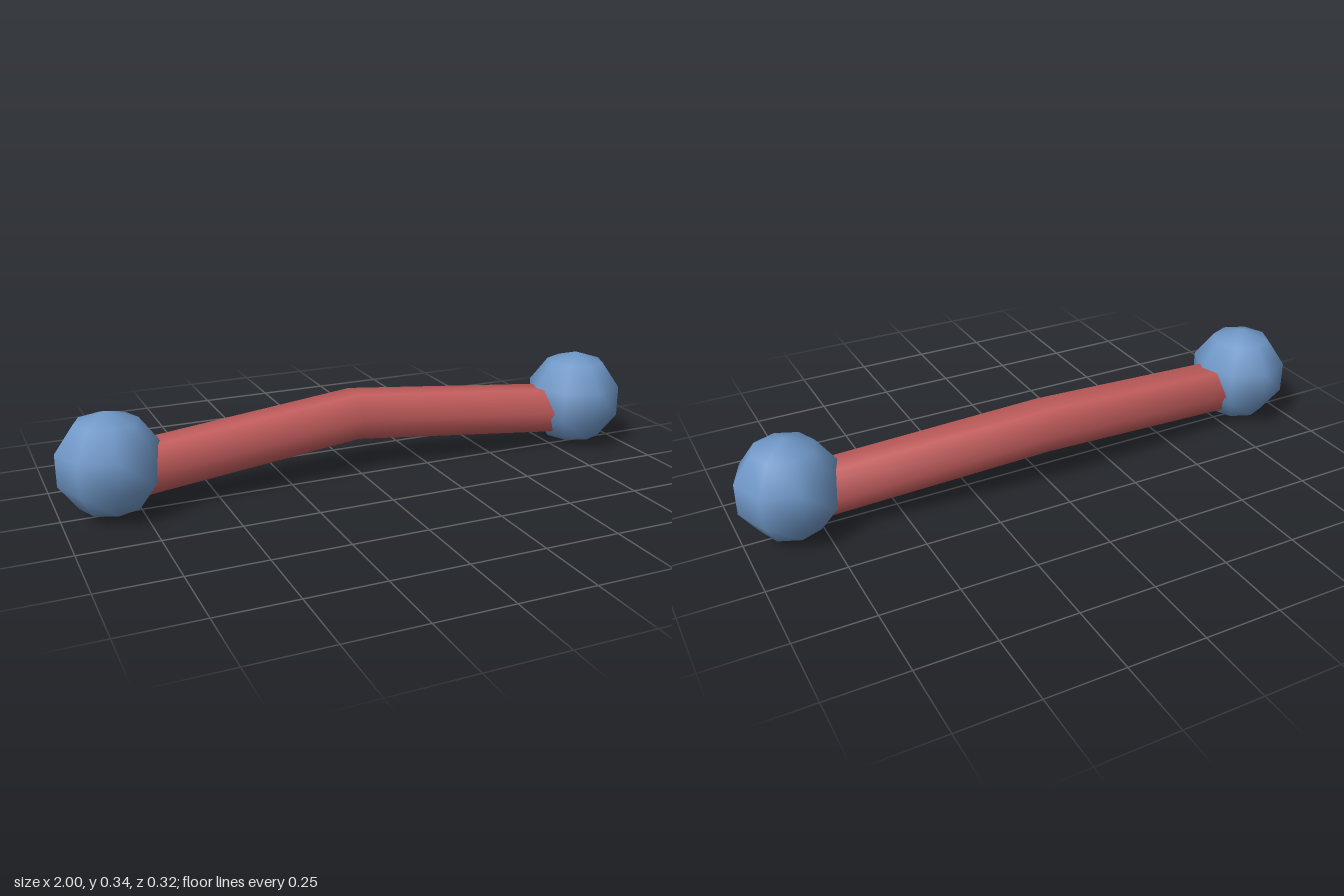
import * as THREE from 'three';

export function createModel() {
  const model = new THREE.Group();
  const red = new THREE.MeshStandardMaterial({ color: 0xc65e5e, side: THREE.DoubleSide });
  const blue = new THREE.MeshStandardMaterial({ color: 0x7098c8 });

  // Bent six-sided bar: rises and sweeps back to a kink in the middle
  const path = new THREE.QuadraticBezierCurve3(
    new THREE.Vector3(-0.84, 0.128, 0),
    new THREE.Vector3(0, 0.262, -0.132),
    new THREE.Vector3(0.84, 0.128, 0)
  );
  const bar = new THREE.Mesh(new THREE.TubeGeometry(path, 2, 0.0895, 6), red);
  bar.name = 'bentBar';
  model.add(bar);

  // Low-poly end balls
  for (const side of [-1, 1]) {
    const ball = new THREE.Mesh(new THREE.SphereGeometry(0.168, 8, 5), blue);
    ball.name = side > 0 ? 'leftBall' : 'rightBall';
    ball.position.set(side * 0.84, 0.168, 0);
    model.add(ball);
  }
  return model;
}
